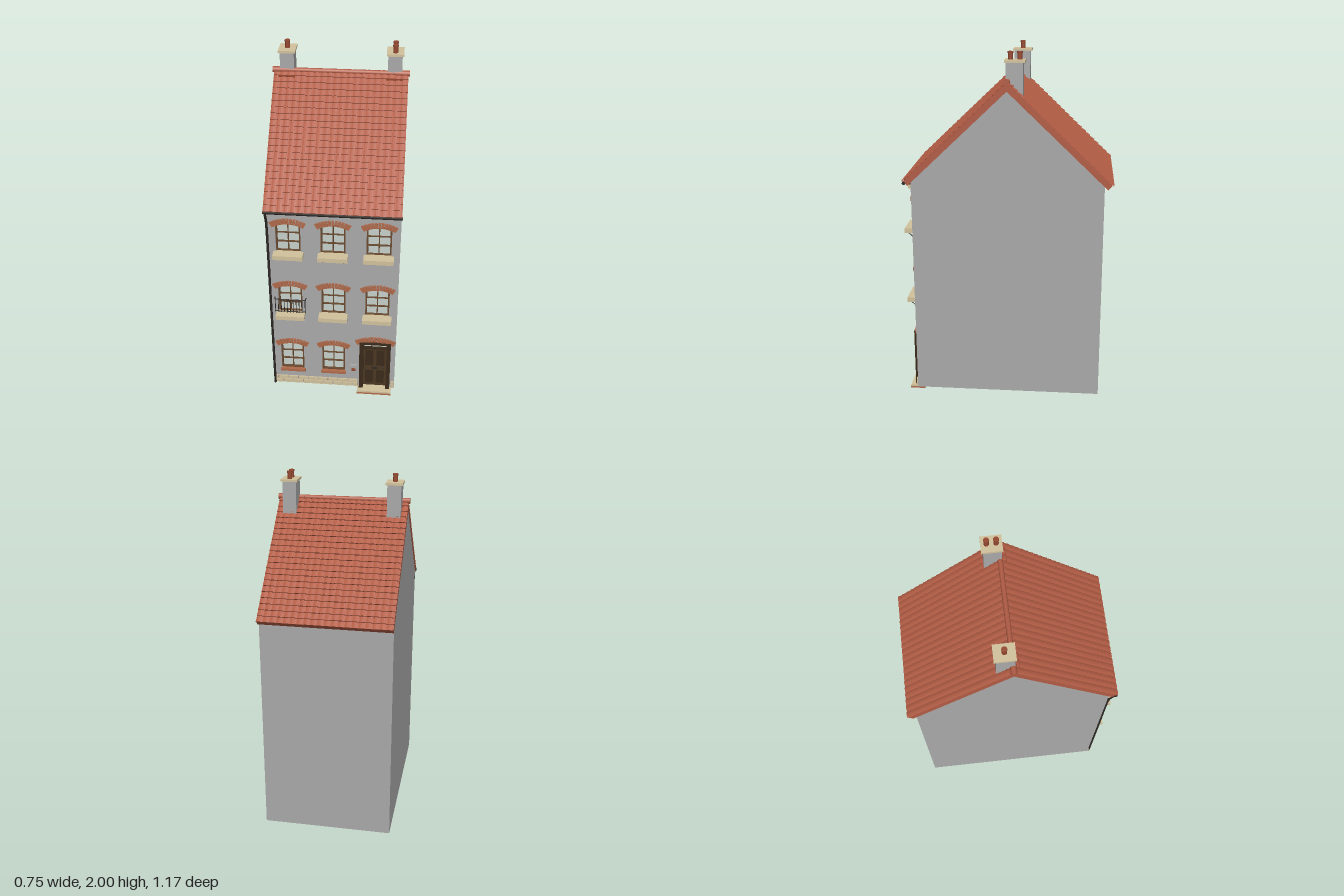
import * as THREE from 'three';

const mat = (name, color, double) => {
  const m = new THREE.MeshStandardMaterial({ color });
  m.name = name;
  if (double) m.side = THREE.DoubleSide;
  return m;
};

export function createModel() {
  const wall = mat('grey render', 0xa9a9a9);
  const roofRed = mat('roof tile red', 0xb15c44, true);
  const brick = mat('brick', 0xb06a4a);
  const stone = mat('cream stone', 0xd2c29c);
  const frameBrown = mat('window frame brown', 0x6a4a30);
  const doorBrown = mat('door brown', 0x4c3822);
  const darkWood = mat('dark wood', 0x3a2a1a);
  const glass = mat('pale glass', 0xc6d0ca, true);
  const iron = mat('iron', 0x2c2824);
  const clay = mat('clay pot', 0x94482f);

  const house = new THREE.Group();
  house.name = 'townHouse';
  const add = (parent, name, geo, material, x = 0, y = 0, z = 0) => {
    const m = new THREE.Mesh(geo, material);
    m.name = name;
    m.position.set(x, y, z);
    parent.add(m);
    return m;
  };
  const box = (parent, name, material, w, h, d, x, y, z) =>
    add(parent, name, new THREE.BoxGeometry(w, h, d), material, x, y, z);
  const group = (name, parent = house) => {
    const g = new THREE.Group();
    g.name = name;
    parent.add(g);
    return g;
  };
  const rod = (parent, name, material, a, b, r) => {
    const p = new THREE.Vector3(...a), q = new THREE.Vector3(...b);
    const m = add(parent, name, new THREE.CylinderGeometry(r, r, p.distanceTo(q), 6), material);
    m.position.copy(p).lerp(q, 0.5);
    m.quaternion.setFromUnitVectors(new THREE.Vector3(0, 1, 0), q.sub(p).normalize());
    return m;
  };
  // Opening outline with a shallow arched head
  const arched = (path, x, hw, bottom, top, R) => {
    const a = Math.asin(hw / R);
    path.moveTo(x - hw, bottom);
    path.lineTo(x + hw, bottom);
    path.absarc(x, top - R, R, Math.PI / 2 - a, Math.PI / 2 + a, false);
    path.closePath();
    return path;
  };
  const extrude = (shape, depth) =>
    new THREE.ExtrudeGeometry(shape, { depth, bevelEnabled: false, curveSegments: 8 });

  const HX = 0.365, HZ = 0.535, EAVE = 1.298, BASE = 0.02, T = 0.035;
  const columns = [-0.245, 0, 0.25];
  const rows = [[0.135, 0.34], [0.575, 0.768], [1.0, 1.188]];
  const HW = 0.068, R = 0.16;
  const DOOR = { x: 0.245, hw: 0.084, top: 0.382, R: 0.22 };

  // Front wall with openings
  const front = new THREE.Shape();
  front.moveTo(-HX, BASE);
  front.lineTo(HX, BASE);
  front.lineTo(HX, EAVE);
  front.lineTo(-HX, EAVE);
  const openings = [];
  rows.forEach(([b, t], r) => columns.forEach((x, c) => {
    if (r > 0 || c < 2) openings.push({ x, b, t, r, c });
  }));
  openings.forEach(o => front.holes.push(arched(new THREE.Path(), o.x, HW, o.b, o.t, R)));
  front.holes.push(arched(new THREE.Path(), DOOR.x, DOOR.hw, 0.022, DOOR.top, DOOR.R));
  add(house, 'frontWall', extrude(front, T), wall, 0, 0, HZ - T);

  // Back wall, gables and the closed front room
  box(house, 'backWall', wall, 2 * HX, EAVE - BASE, T, 0, (EAVE + BASE) / 2, -HZ + T / 2);
  const gz = HZ - 0.0005;
  const gable = new THREE.Shape();
  gable.moveTo(-gz, BASE);
  gable.lineTo(gz, BASE);
  gable.lineTo(gz, EAVE);
  gable.lineTo(0, 1.81);
  gable.lineTo(-gz, EAVE);
  const gableGeo = extrude(gable, T).rotateY(Math.PI / 2);
  add(house, 'leftGable', gableGeo, wall, HX - T);
  add(house, 'rightGable', gableGeo, wall, -HX);
  box(house, 'roomFloor', stone, 2 * (HX - T), 0.008, 0.3, 0, 0.025, 0.35);
  box(house, 'roomPartition', stone, 2 * (HX - T), 1.27, 0.01, 0, 0.66, 0.2);

  // Roof slopes: slab with stepped, rippled tile courses
  const RIDGE = 1.843, L = 0.803, COURSES = 22, TILES = 20;
  const pitch = L / COURSES, angle = Math.atan(0.957);
  const tileGeo = () => {
    const g = new THREE.PlaneGeometry(0.734, L, TILES * 4, COURSES * 2).rotateX(-Math.PI / 2);
    const p = g.attributes.position, across = TILES * 4 + 1;
    for (let i = 0; i < p.count; i++) {
      const j = Math.floor(i / across), k = i % across;
      const ripple = 0.0035 * Math.sin((k % 4) * Math.PI / 4);
      p.setY(i, ripple + (j % 2 ? 0.007 : 0));
      p.setZ(i, Math.ceil(j / 2) * pitch);
    }
    const flat = g.toNonIndexed();
    flat.computeVertexNormals();
    return flat;
  };
  const tiles = tileGeo();
  for (const s of [0, 1]) {
    const side = group(s ? 'backRoof' : 'frontRoof');
    side.rotation.y = s * Math.PI;
    const slope = group('slope', side);
    slope.position.y = RIDGE;
    slope.rotation.x = angle;
    add(slope, 'roofTiles', tiles, roofRed);
    box(slope, 'roofSlab', roofRed, 0.734, 0.033, L - 0.005, 0, -0.0175, L / 2 - 0.002);
  }
  const ridge = group('ridgeTiles');
  for (let i = 0; i < 10; i++) {
    const r = i === 0 || i === 9 ? 0.017 : 0.014;
    add(ridge, 'ridgeTile', new THREE.CylinderGeometry(r, r * 0.93, 0.075, 10).rotateZ(Math.PI / 2),
      roofRed, -0.3375 + i * 0.075, RIDGE, 0);
  }

  // Chimneys
  for (const [x, pots] of [[-0.295, [-0.04]], [0.293, [-0.065, -0.015]]]) {
    const ch = group('chimney');
    box(ch, 'chimneyStack', wall, 0.077, 0.21, 0.095, x, 1.84, -0.038);
    box(ch, 'chimneyFlashing', clay, 0.092, 0.014, 0.07, x, 1.818, 0);
    box(ch, 'chimneyCap', stone, 0.094, 0.013, 0.112, x, 1.95, -0.04);
    pots.forEach(z => {
      add(ch, 'chimneyPot', new THREE.CylinderGeometry(0.012, 0.014, 0.045, 12), clay, x, 1.9755, z);
      add(ch, 'potRim', new THREE.CylinderGeometry(0.015, 0.015, 0.01, 12), clay, x, 1.995, z);
    });
  }

  // Brick arch of wedge-like blocks
  const brickArch = (parent, x, top, radius, half, n, len) => {
    const a = Math.asin(half / radius);
    for (let i = 0; i < n; i++) {
      const t = -a + (2 * a * (i + 0.5)) / n, d = radius + len / 2;
      const b = box(parent, 'archBrick', brick, (2 * a * radius) / n - 0.001, len, 0.02,
        x + Math.sin(t) * d, top - radius + Math.cos(t) * d, HZ - 0.002);
      b.rotation.z = -t;
    }
  };

  // Windows
  for (const { x, b, t, r } of openings) {
    const w = group('window');
    add(w, 'windowGlass', new THREE.ShapeGeometry(arched(new THREE.Shape(), x, HW, b, t, R)), glass, 0, 0, 0.514);
    const f = arched(new THREE.Shape(), x, HW, b, t, R);
    f.holes.push(arched(new THREE.Path(), x, HW - 0.009, b + 0.009, t - 0.009, R));
    add(w, 'windowFrame', extrude(f, 0.013), frameBrown, 0, 0, 0.515);
    const h = t - b;
    box(w, 'glazingBar', frameBrown, 0.006, h - 0.01, 0.008, x, b + h / 2, 0.519);
    for (const k of [0.34, 0.65])
      box(w, 'glazingBar', frameBrown, 2 * HW - 0.01, k > 0.5 ? 0.005 : 0.007, 0.008, x, b + h * k, 0.519);
    brickArch(w, x, t, R, 0.084, 11, 0.033);
    if (r === 0) {
      box(w, 'brickSill', brick, 0.15, 0.017, 0.025, x, b - 0.007, HZ);
    } else {
      box(w, 'stoneSill', stone, 0.165, 0.027, 0.06, x, b - 0.008, 0.556);
      for (const s of [-1, 1])
        rod(w, 'sillBracket', iron, [x + s * 0.057, b - 0.022, 0.575], [x + s * 0.057, b - 0.057, 0.536], 0.003);
    }
  }

  // Balcony railing
  const rail = group('balconyRailing');
  for (const y of [0.595, 0.68]) rod(rail, 'rail', iron, [-0.333, y, 0.555], [-0.157, y, 0.555], 0.003);
  for (let i = 0; i < 11; i++) {
    const x = -0.33 + i * 0.017;
    rod(rail, 'railBar', iron, [x, 0.588, 0.555], [x, 0.68, 0.555], 0.0022);
  }
  for (const x of [-0.333, -0.157]) rod(rail, 'railEnd', iron, [x, 0.68, 0.555], [x, 0.68, 0.534], 0.003);

  // Door
  const door = group('door');
  const { x: dx } = DOOR;
  box(door, 'doorLeaf', doorBrown, 0.15, 0.315, 0.012, dx, 0.178, 0.518);
  for (const s of [-1, 1]) {
    box(door, 'doorPost', darkWood, 0.024, 0.35, 0.05, dx + s * 0.08, 0.195, 0.528);
    for (const [y, h] of [[0.095, 0.1], [0.245, 0.12]])
      box(door, 'doorPanel', darkWood, 0.048, h, 0.006, dx + s * 0.033, y, 0.524);
  }
  box(door, 'doorHead', darkWood, 0.175, 0.014, 0.02, dx, 0.328, 0.525);
  box(door, 'doorTopBeam', darkWood, 0.184, 0.014, 0.035, dx, 0.371, 0.53);
  box(door, 'letterSlot', iron, 0.035, 0.01, 0.006, dx, 0.165, 0.527);
  add(door, 'doorKnob', new THREE.SphereGeometry(0.006, 10, 8), iron, dx + 0.05, 0.175, 0.53);
  for (const i of [-1, 0, 1]) box(door, 'transomPane', glass, 0.042, 0.03, 0.008, dx + i * 0.046, 0.35, 0.52);
  box(door, 'transomBack', darkWood, 0.15, 0.05, 0.006, dx, 0.355, 0.514);
  brickArch(door, dx, DOOR.top, DOOR.R, 0.105, 13, 0.034);
  box(door, 'stepBase', brick, 0.205, 0.01, 0.085, dx, 0.005, 0.54);
  box(door, 'doorStep', stone, 0.205, 0.012, 0.08, dx, 0.016, 0.54);

  // Letter box beside the door
  box(house, 'letterBox', wall, 0.04, 0.055, 0.015, 0.12, 0.168, 0.541);
  box(house, 'letterBoxPlate', clay, 0.026, 0.02, 0.004, 0.12, 0.163, 0.55);

  // Stone plinth in two staggered courses
  const plinth = group('plinth');
  const block = (x0, x1, y) => x1 - x0 > 0.006 &&
    box(plinth, 'plinthStone', stone, x1 - x0 - 0.004, 0.024, 0.014, (x0 + x1) / 2, y, HZ + 0.001);
  for (const r of [0, 1]) {
    const y = 0.034 + r * 0.028;
    for (let x = -HX - r * 0.03; x < 0.14; x += 0.06) block(Math.max(x, -HX), Math.min(x + 0.06, 0.145), y);
    block(0.343, HX, y);
  }

  // Cornice, gutter and downpipe
  box(house, 'cornice', stone, 2 * HX, 0.022, 0.016, 0, 1.262, HZ + 0.006);
  box(house, 'corniceBoard', darkWood, 2 * HX, 0.012, 0.03, 0, 1.28, HZ + 0.012);
  rod(house, 'gutter', iron, [-0.37, 1.28, 0.574], [0.37, 1.28, 0.574], 0.01);
  const pipePath = new THREE.CatmullRomCurve3([
    [0, 1.275, 0.574], [0, 1.25, 0.568], [0, 1.21, 0.55], [0, 1.17, 0.545], [0, 0.6, 0.545], [0, 0.02, 0.545],
  ].map(([x, y, z]) => new THREE.Vector3(x - 0.357, y, z)), false, 'centripetal');
  add(house, 'downpipe', new THREE.TubeGeometry(pipePath, 60, 0.007, 8), iron);

  return house;
}
